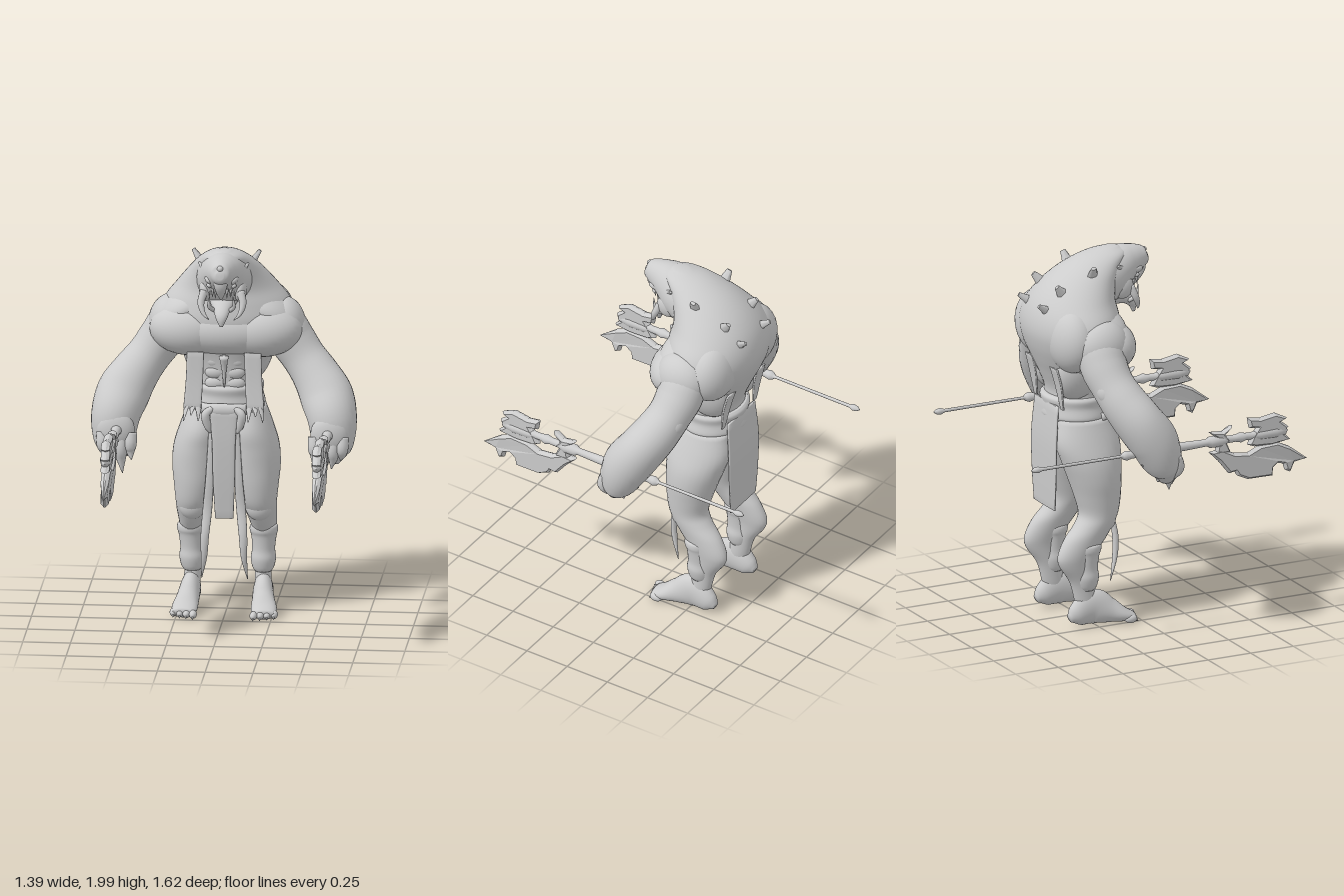
import * as THREE from 'three';

const grey = new THREE.MeshStandardMaterial({ color: 0xcccccc });
grey.name = 'clay grey';
const V = (x, y, z) => new THREE.Vector3(x, y, z);

export function createModel() {
  const root = new THREE.Group();
  root.name = 'beastWarrior';

  const add = (name, geo) => {
    const m = new THREE.Mesh(geo, grey);
    m.name = name;
    root.add(m);
    return m;
  };

  // Smooth skin through elliptical rings; rows are [x, y, z, radiusU, radiusV].
  // level: rings stay horizontal; otherwise they follow the path, U lying along ref.
  function loft(name, rows, { level = false, ref = V(1, 0, 0), seg = 28, sub = 5, pow = 1 } = {}) {
    const path = new THREE.CatmullRomCurve3(rows.map(r => V(r[0], r[1], r[2])), false, 'catmullrom', 0.5);
    const size = new THREE.CatmullRomCurve3(rows.map(r => V(r[3], r[4], 0)), false, 'catmullrom', 0.5);
    const n = (rows.length - 1) * sub, pos = [], idx = [];
    const bend = c => Math.sign(c) * Math.abs(c) ** pow;
    for (let i = 0; i <= n; i++) {
      const c = path.getPoint(i / n), s = size.getPoint(i / n);
      const t = level ? V(0, Math.sign(rows.at(-1)[1] - rows[0][1]), 0) : path.getTangent(i / n);
      const u = ref.clone().addScaledVector(t, -ref.dot(t)).normalize();
      const v = t.clone().cross(u);
      for (let j = 0; j < seg; j++) {
        const a = j / seg * Math.PI * 2;
        const p = c.clone().addScaledVector(u, bend(Math.cos(a)) * Math.max(s.x, 0.001))
          .addScaledVector(v, bend(Math.sin(a)) * Math.max(s.y, 0.001));
        pos.push(p.x, p.y, p.z);
        if (i < n) {
          const k = i * seg + j, l = i * seg + (j + 1) % seg;
          idx.push(k, l, k + seg, l, l + seg, k + seg);
        }
      }
    }
    // end caps
    const first = rows[0], last = rows.at(-1), a0 = pos.length / 3;
    pos.push(...first.slice(0, 3), ...last.slice(0, 3));
    for (let j = 0; j < seg; j++) {
      const k = (j + 1) % seg;
      idx.push(a0, k, j, a0 + 1, n * seg + j, n * seg + k);
    }
    const g = new THREE.BufferGeometry();
    g.setAttribute('position', new THREE.Float32BufferAttribute(pos, 3));
    g.setIndex(idx);
    g.computeVertexNormals();
    return add(name, g);
  }

  const blob = (name, p, r, rz = 0) => {
    const m = add(name, new THREE.SphereGeometry(1, 32, 20));
    m.position.set(...p);
    m.scale.set(...r);
    m.rotation.z = rz;
    return m;
  };

  const spike = (name, from, to, r, sides = 8, tip = 0.15) => {
    const a = V(...from), b = V(...to), d = b.clone().sub(a);
    const m = add(name, new THREE.CylinderGeometry(r * tip, r, d.length(), sides));
    m.position.copy(a).add(b).multiplyScalar(0.5);
    m.quaternion.setFromUnitVectors(V(0, 1, 0), d.normalize());
    return m;
  };

  // Weapon plate drawn in (z, y), centred on x and thinned towards the forward point
  const plate = (name, x, pts) => {
    const depth = 0.01, bevel = 0.018;
    const g = new THREE.ExtrudeGeometry(new THREE.Shape(pts.map(p => new THREE.Vector2(...p))), {
      depth, bevelThickness: bevel, bevelSize: 0.012, bevelOffset: -0.012, bevelSegments: 1 });
    g.translate(0, 0, -depth / 2).rotateY(-Math.PI / 2);
    const p = g.attributes.position;
    for (let i = 0; i < p.count; i++)
      p.setX(i, p.getX(i) * THREE.MathUtils.clamp((0.82 - p.getZ(i)) / 0.13, 0.1, 1));
    g.computeVertexNormals();
    add(name, g).position.x = x;
  };

  // Torso with the hunched back
  const torsoRows = [
    [1.0, 0.17, -0.12, -0.42], [1.15, 0.185, -0.11, -0.43], [1.26, 0.18, -0.12, -0.42],
    [1.36, 0.22, -0.11, -0.455], [1.44, 0.28, -0.09, -0.49], [1.52, 0.33, -0.06, -0.52],
    [1.6, 0.35, -0.05, -0.535], [1.68, 0.325, -0.06, -0.525], [1.76, 0.265, -0.07, -0.49],
    [1.84, 0.205, -0.05, -0.425], [1.91, 0.15, -0.01, -0.335], [1.965, 0.095, 0.03, -0.22], [1.995, 0.03, -0.02, -0.1]];
  loft('torso', torsoRows.map(([y, rx, f, b]) => [0, y, (f + b) / 2, rx, (f - b) / 2]), { level: true, seg: 48 });

  // Head: sloping skull and blunt snout, running forward
  const headRows = [[-0.3, 1.84, 1.66, 0.1], [-0.19, 1.95, 1.66, 0.15], [-0.08, 1.993, 1.7, 0.14],
    [0, 1.997, 1.77, 0.112], [0.06, 1.99, 1.81, 0.085], [0.11, 1.975, 1.84, 0.062],
    [0.14, 1.955, 1.86, 0.045], [0.156, 1.93, 1.89, 0.02]];
  loft('head', headRows.map(([z, t, b, r]) => [0, (t + b) / 2, z, r, (t - b) / 2]));
  loft('lowerJaw', [[0, 1.74, -0.14, 0.09, 0.06], [0, 1.72, -0.04, 0.07, 0.045], [0, 1.695, 0.03, 0.045, 0.03],
    [0, 1.66, 0.07, 0.03, 0.022], [0, 1.615, 0.08, 0.008, 0.008]]);
  loft('upperBeak', [[0, 1.9, 0.1, 0.05, 0.04], [0, 1.85, 0.115, 0.036, 0.03], [0, 1.8, 0.095, 0.022, 0.02],
    [0, 1.765, 0.08, 0.006, 0.006]]);
  blob('noseBump', [0, 1.945, 0.138], [0.016, 0.016, 0.016]);

  // Chest ornament and breast
  loft('bonePendant', [[0, 1.41, -0.075, 0.025, 0.02], [0, 1.34, -0.09, 0.013, 0.012], [0, 1.24, -0.1, 0.004, 0.004]]);
  blob('breast', [0, 1.53, -0.19], [0.3, 0.14, 0.155]);

  // Belt and hanging cloths
  loft('belt', [[0, 1.11, -0.27, 0.19, 0.165], [0, 1.13, -0.27, 0.2, 0.178], [0, 1.18, -0.27, 0.188, 0.17],
    [0, 1.22, -0.27, 0.193, 0.175], [0, 1.24, -0.27, 0.18, 0.16]], { level: true, seg: 40 });
  loft('beltRoll', [[-0.19, 1.13, -0.2, 0.02, 0.02], [-0.1, 1.12, -0.1, 0.03, 0.025], [0, 1.12, -0.08, 0.035, 0.025],
    [0.1, 1.12, -0.1, 0.03, 0.025], [0.19, 1.13, -0.2, 0.02, 0.02]], { ref: V(0, 1, 0) });
  loft('frontLoincloth', [[0, 1.12, -0.07, 0.075, 0.012], [0, 0.95, -0.07, 0.062, 0.012], [0, 0.75, -0.08, 0.058, 0.01],
    [0, 0.53, -0.1, 0.048, 0.008]], { level: true, pow: 0.5 });
  loft('backLoincloth', [[0, 1.2, -0.43, 0.13, 0.01], [0, 1.0, -0.445, 0.14, 0.01], [0, 0.8, -0.445, 0.135, 0.008],
    [0, 0.63, -0.442, 0.12, 0.006]], { level: true, pow: 0.5 });

  for (const s of [1, -1]) {
    const side = s > 0 ? 'left' : 'right';
    const flip = rows => rows.map(([x, ...rest]) => [x * s, ...rest]);
    const at = (x, y, z) => [x * s, y, z];

    // Face
    blob(side + 'Brow', at(0.06, 1.865, 0.055), [0.03, 0.022, 0.045], s * 0.5);
    blob(side + 'Eye', at(0.062, 1.835, 0.062), [0.016, 0.014, 0.018]);
    blob(side + 'Cheek', at(0.09, 1.79, -0.03), [0.035, 0.065, 0.06]);
    loft(side + 'Tusk', flip([[0.095, 1.79, 0.01, 0.022, 0.022], [0.11, 1.73, 0.035, 0.018, 0.018],
      [0.095, 1.68, 0.055, 0.011, 0.011], [0.065, 1.65, 0.07, 0.002, 0.002]]), { seg: 12 });
    loft(side + 'JawTusk', flip([[0.04, 1.69, 0.03, 0.012, 0.012], [0.065, 1.72, 0.06, 0.01, 0.01],
      [0.06, 1.78, 0.075, 0.002, 0.002]]), { seg: 10 });
    for (let i = 0; i < 3; i++)
      spike(side + 'Tooth' + i, at(0.03 + i * 0.018, 1.82, 0.08 - i * 0.028), at(0.03 + i * 0.018, 1.77, 0.085 - i * 0.028), 0.01);

    // Blunt spikes along the back
    [[[0.125, 1.87, -0.23], [0.175, 1.945, -0.245], 0.04], [[0.11, 1.9, -0.06], [0.13, 1.92, -0.075], 0.022],
      [[0.12, 1.8, -0.39], [0.135, 1.86, -0.44], 0.036], [[0.1, 1.72, -0.47], [0.115, 1.765, -0.535], 0.028]]
      .forEach(([a, b, r], i) => spike(side + 'BackSpike' + i, at(...a), at(...b), r, 6, 0.4).scale.x = 0.65);

    // Chest, shoulder and back muscles
    blob(side + 'Pectoral', at(0.195, 1.53, -0.185), [0.205, 0.14, 0.145], s * 0.04);
    blob(side + 'Trapezius', at(0.22, 1.63, -0.27), [0.18, 0.095, 0.18], -s * 0.5);
    blob(side + 'Deltoid', at(0.295, 1.555, -0.26), [0.115, 0.14, 0.15], s * 0.15);
    blob(side + 'ShoulderBlade', at(0.175, 1.58, -0.375), [0.17, 0.18, 0.125], s * 0.4);
    blob(side + 'Flank', at(0.145, 1.38, -0.32), [0.09, 0.16, 0.13], -s * 0.25);
    for (let i = 0; i < 3; i++)
      blob(side + 'Abdominal' + i, at(0.05, 1.37 - i * 0.06, -0.145), [0.055, 0.038, 0.032]);

    // Arm, shoulder to fist
    loft(side + 'Arm', flip([[0.22, 1.59, -0.27, 0.06, 0.06], [0.285, 1.555, -0.27, 0.125, 0.11], [0.34, 1.46, -0.27, 0.125, 0.12],
      [0.405, 1.37, -0.25, 0.115, 0.115], [0.47, 1.285, -0.215, 0.12, 0.125], [0.53, 1.19, -0.16, 0.125, 0.14],
      [0.565, 1.09, -0.095, 0.13, 0.13], [0.572, 0.99, -0.06, 0.105, 0.115], [0.56, 0.93, -0.035, 0.075, 0.095],
      [0.55, 0.87, -0.015, 0.04, 0.055]]), { ref: V(0, 0, 1) });
    blob(side + 'Elbow', at(0.435, 1.36, -0.3), [0.06, 0.08, 0.06], s * 0.6);
    blob(side + 'Hand', at(0.56, 1.02, -0.005), [0.1, 0.11, 0.055]);
    for (let i = 0; i < 4; i++) {
      const x = 0.482 + i * 0.048, drop = [0.075, 0, 0.045, 0.09][i];
      loft(side + 'ClawFinger' + i, flip([[x, 1.01, 0.0, 0.034, 0.034], [x, 0.93 + drop * 0.3, 0.015, 0.034, 0.036],
        [x, 0.87 + drop * 0.6, 0.01, 0.025, 0.028], [x - 0.008, 0.795 + drop, 0.028 - i * 0.01, 0.002, 0.002]]), { seg: 14 });
    }
    for (let i = 0; i < 3; i++)
      spike(side + 'WristBarb' + i, at(0.58, 0.96 + i * 0.03, -0.08 - i * 0.03), at(0.585, 0.87 + i * 0.05, -0.08 - i * 0.045), 0.035);

    // Leg
    loft(side + 'Leg', flip([[0.11, 1.12, -0.27, 0.09, 0.14], [0.125, 1.0, -0.258, 0.12, 0.177],
      [0.143, 0.9, -0.245, 0.133, 0.165], [0.152, 0.8, -0.23, 0.132, 0.145], [0.16, 0.7, -0.217, 0.115, 0.126],
      [0.168, 0.61, -0.215, 0.098, 0.108], [0.178, 0.55, -0.245, 0.085, 0.11], [0.185, 0.48, -0.3, 0.072, 0.12],
      [0.19, 0.4, -0.35, 0.06, 0.11], [0.19, 0.34, -0.355, 0.052, 0.095], [0.185, 0.25, -0.325, 0.045, 0.065],
      [0.185, 0.15, -0.3, 0.043, 0.062], [0.188, 0.08, -0.285, 0.04, 0.06]]), { level: true });
    blob(side + 'Knee', at(0.175, 0.575, -0.18), [0.07, 0.075, 0.055]);
    loft(side + 'ShinCuff', flip([[0.19, 0.455, -0.29, 0.06, 0.06], [0.19, 0.445, -0.292, 0.072, 0.074],
      [0.19, 0.42, -0.292, 0.074, 0.075], [0.19, 0.39, -0.295, 0.066, 0.068], [0.188, 0.32, -0.298, 0.06, 0.064],
      [0.187, 0.27, -0.298, 0.066, 0.07], [0.186, 0.225, -0.298, 0.058, 0.062], [0.186, 0.2, -0.298, 0.045, 0.05]]), { level: true });
    loft(side + 'Foot', flip([[0.19, 0.05, -0.395, 0.02, 0.02], [0.19, 0.07, -0.35, 0.045, 0.065],
      [0.19, 0.1, -0.26, 0.052, 0.095], [0.198, 0.07, -0.17, 0.06, 0.068], [0.207, 0.043, -0.1, 0.068, 0.041],
      [0.21, 0.025, -0.04, 0.06, 0.023]]));
    for (let i = 0; i < 4; i++) {
      const x = 0.158 + i * 0.035, z = -0.035 - i * 0.012;
      blob(side + 'Toe' + i, at(x, 0.024, z), [0.02, 0.022, 0.035]);
      spike(side + 'ToeClaw' + i, at(x, 0.025, z + 0.015), at(x, 0.007, z + 0.042), 0.012);
    }

    // Straps and ribbons
    loft(side + 'ChestStrap', flip([[0.15, 1.43, -0.09, 0.045, 0.008], [0.155, 1.28, -0.085, 0.045, 0.008],
      [0.165, 1.13, -0.07, 0.047, 0.007]]), { level: true, pow: 0.5 });
    for (let i = 0; i < 3; i++)
      spike(side + 'StrapTatter' + i, at(0.133 + i * 0.031, 1.14, -0.072), at(0.131 + i * 0.038, 1.07 + (i % 2) * 0.03, -0.035), 0.018).scale.z = 0.4;
    loft(side + 'BackStrap', flip([[0.14, 1.42, -0.46, 0.04, 0.008], [0.145, 1.32, -0.435, 0.036, 0.008],
      [0.15, 1.19, -0.415, 0.015, 0.006]]), { level: true, pow: 0.5 });
    loft(side + 'BeltKnot', flip([[0.06, 1.13, -0.075, 0.016, 0.016], [0.095, 1.1, -0.06, 0.022, 0.02],
      [0.085, 1.04, -0.065, 0.02, 0.015], [0.07, 1.0, -0.07, 0.006, 0.006]]), { seg: 12 });
    loft(side + 'Ribbon', flip([[0.06, 1.02, -0.09, 0.02, 0.006], [0.075, 0.75, -0.09, 0.022, 0.007],
      [0.088, 0.58, -0.1, 0.025, 0.01], [0.1, 0.44, -0.08, 0.022, 0.015], [0.105, 0.32, -0.085, 0.016, 0.013],
      [0.12, 0.2, -0.118, 0.002, 0.002]]), { level: true, seg: 14 });

    // Axe: turned shaft with collars, thin tail rod, blades
    const x = 0.553 * s;
    const shaft = [[0, -0.81], [0.014, -0.79], [0.017, -0.765], [0.009, -0.745], [0.008, -0.28], [0.018, -0.27],
      [0.026, -0.25], [0.02, -0.22], [0.02, 0.03], [0.03, 0.04], [0.024, 0.06], [0.019, 0.22], [0.03, 0.24],
      [0.032, 0.3], [0.02, 0.34], [0.019, 0.39], [0.027, 0.42], [0.019, 0.45], [0.019, 0.49], [0.03, 0.52],
      [0.032, 0.62], [0.022, 0.68], [0, 0.7]];
    const axe = add(side + 'AxeShaft', new THREE.LatheGeometry(shaft.map(p => new THREE.Vector2(...p)), 18).rotateX(Math.PI / 2));
    axe.position.set(x, 1.03, 0);
    plate(side + 'AxeUpperBlade', x, [[0.46, 0.985], [0.49, 1.04], [0.515, 1.07], [0.47, 1.075], [0.46, 1.13], [0.53, 1.12],
      [0.62, 1.135], [0.69, 1.1], [0.655, 1.085], [0.7, 1.05], [0.67, 1.02], [0.71, 0.98], [0.6, 0.965], [0.5, 0.97]]);
    plate(side + 'AxeLowerBlade', x, [[0.235, 0.975], [0.31, 0.985], [0.38, 0.95], [0.46, 0.94], [0.53, 0.97], [0.63, 0.975],
      [0.705, 0.94], [0.81, 0.86], [0.735, 0.85], [0.71, 0.8], [0.68, 0.815], [0.67, 0.85], [0.635, 0.86], [0.61, 0.84],
      [0.605, 0.795], [0.46, 0.797], [0.4, 0.825], [0.385, 0.85], [0.35, 0.845], [0.29, 0.92]]);
    plate(side + 'AxeRearSpur', x, [[0.36, 1.02], [0.33, 1.06], [0.37, 1.105], [0.31, 1.08], [0.235, 1.085],
      [0.275, 1.05], [0.25, 1.02]]);
    plate(side + 'AxeBracket', x, [[0.28, 1.03], [0.33, 1.03], [0.36, 0.96], [0.27, 0.965]]);
  }
  return root;
}
